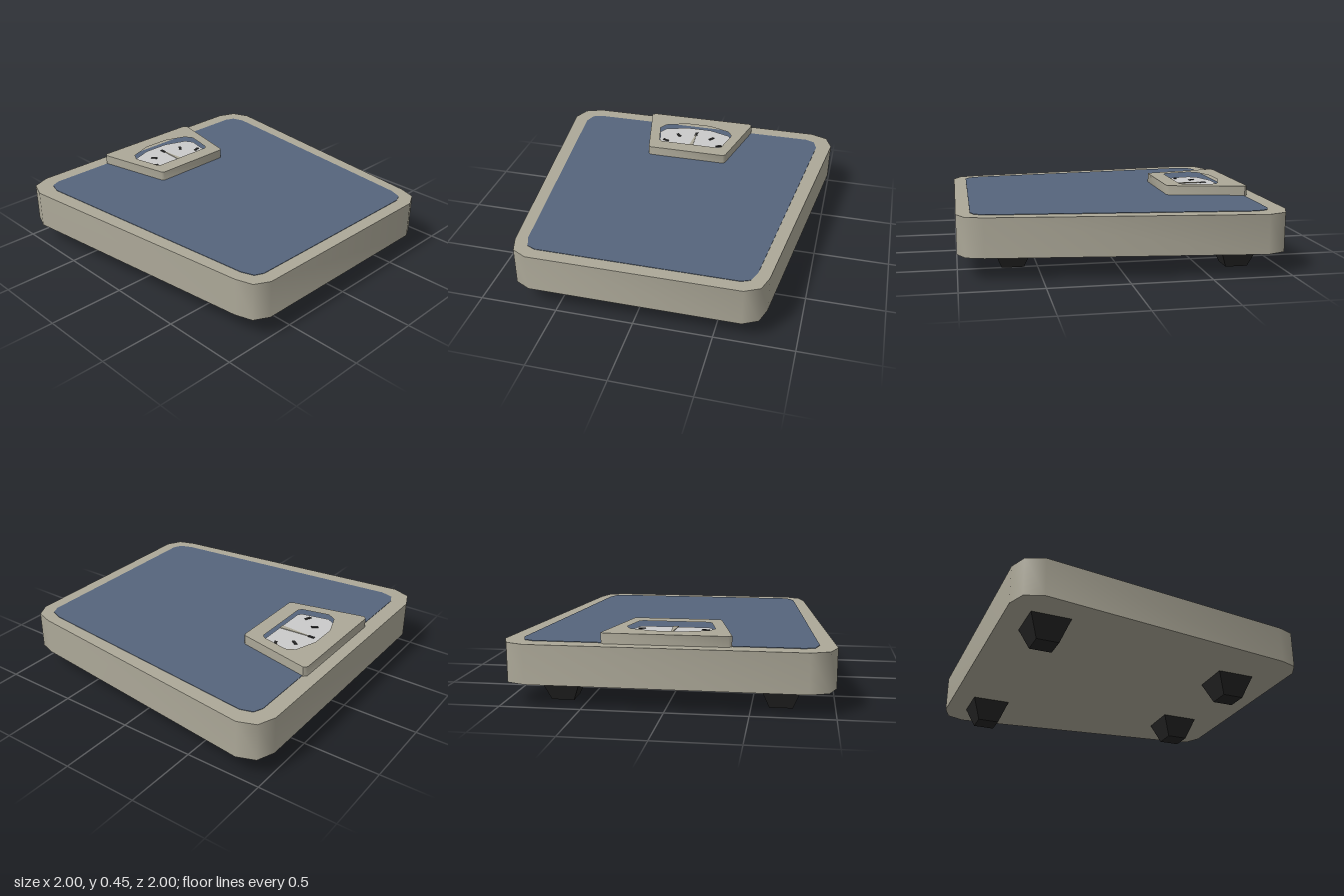
import * as THREE from 'three';
import { toCreasedNormals } from 'three/addons/utils/BufferGeometryUtils.js';

const paint = (name, color) => {
  const m = new THREE.MeshStandardMaterial({ color });
  m.name = name;
  return m;
};

// Full outline from the +x half, listed back to front as [x, z]
const mirrored = (half) => {
  const left = half.map(([x, z]) => [-x, z]).reverse();
  return [...half, ...left].map(([x, z]) => new THREE.Vector2(x, -z));
};

// Slab standing between two heights, with an optional hole
function slab(half, bottom, top, hole) {
  const shape = new THREE.Shape(mirrored(half));
  if (hole) shape.holes.push(new THREE.Path(mirrored(hole)));
  const geo = new THREE.ExtrudeGeometry(shape, { depth: top - bottom, bevelEnabled: false });
  geo.rotateX(-Math.PI / 2).translate(0, bottom, 0);
  return toCreasedNormals(geo, 0.85);
}

export function createModel() {
  const beige = paint('beige casing', 0xaca898);
  const blue = paint('blue mat', 0x56657c);
  const white = paint('pale dial', 0xcacaca);
  const black = paint('black rubber', 0x252525);

  const model = new THREE.Group();
  model.name = 'bathroomScale';
  const add = (name, geo, mat, parent = model) => {
    const mesh = new THREE.Mesh(geo, mat);
    mesh.name = name;
    parent.add(mesh);
    return mesh;
  };

  // Tapered platform with chamfer-rounded corners
  add('platform', slab([
    [0.84, -1], [0.955, -0.955], [1, -0.84], [0.8, 0.84], [0.765, 0.95], [0.67, 1],
  ], 0.14, 0.385), beige);

  // Standing mat
  add('mat', slab([
    [0.81, -0.895], [0.87, -0.87], [0.895, -0.79], [0.725, 0.81], [0.695, 0.89], [0.64, 0.915],
  ], 0.382, 0.388), blue);

  // Dial housing with a window opening
  const dial = new THREE.Group();
  dial.name = 'dial';
  model.add(dial);
  const window = [[0.09, -0.81], [0.24, -0.757], [0.272, -0.7], [0.232, -0.52], [0.21, -0.5]];
  add('dialHousing', slab([
    [0.37, -0.92], [0.39, -0.9], [0.283, -0.41], [0.268, -0.395],
  ], 0.385, 0.45, window), beige, dial);
  add('dialFace', slab(window, 0.41, 0.416), white, dial);

  // Needle
  add('needle', slab([[0.002, -0.71], [0.018, -0.5]], 0.416, 0.42), beige, dial);

  // Tick marks fanned around the needle's foot
  const ticks = [[0, -0.727, 0], [0.125, -0.68, 0.65], [0.2, -0.583, 1.2]];
  for (const [x, z, turn] of ticks) {
    for (const side of x ? [-1, 1] : [1]) {
      const tick = add('tick', new THREE.BoxGeometry(0.019, 0.004, 0.045), black, dial);
      tick.position.set(side * x, 0.418, z);
      tick.rotation.y = -side * turn;
    }
  }

  // Four tapered square feet
  for (const [x, z] of [[-0.395, 0.655], [0.435, 0.655], [-0.678, -0.735], [0.66, -0.735]]) {
    const geo = new THREE.CylinderGeometry(0.125 * Math.SQRT2, 0.07 * Math.SQRT2, 0.14, 4);
    geo.rotateY(Math.PI / 4);
    const foot = add('foot', toCreasedNormals(geo, 0.3), black);
    foot.position.set(x, 0.07, z);
  }

  return model;
}
